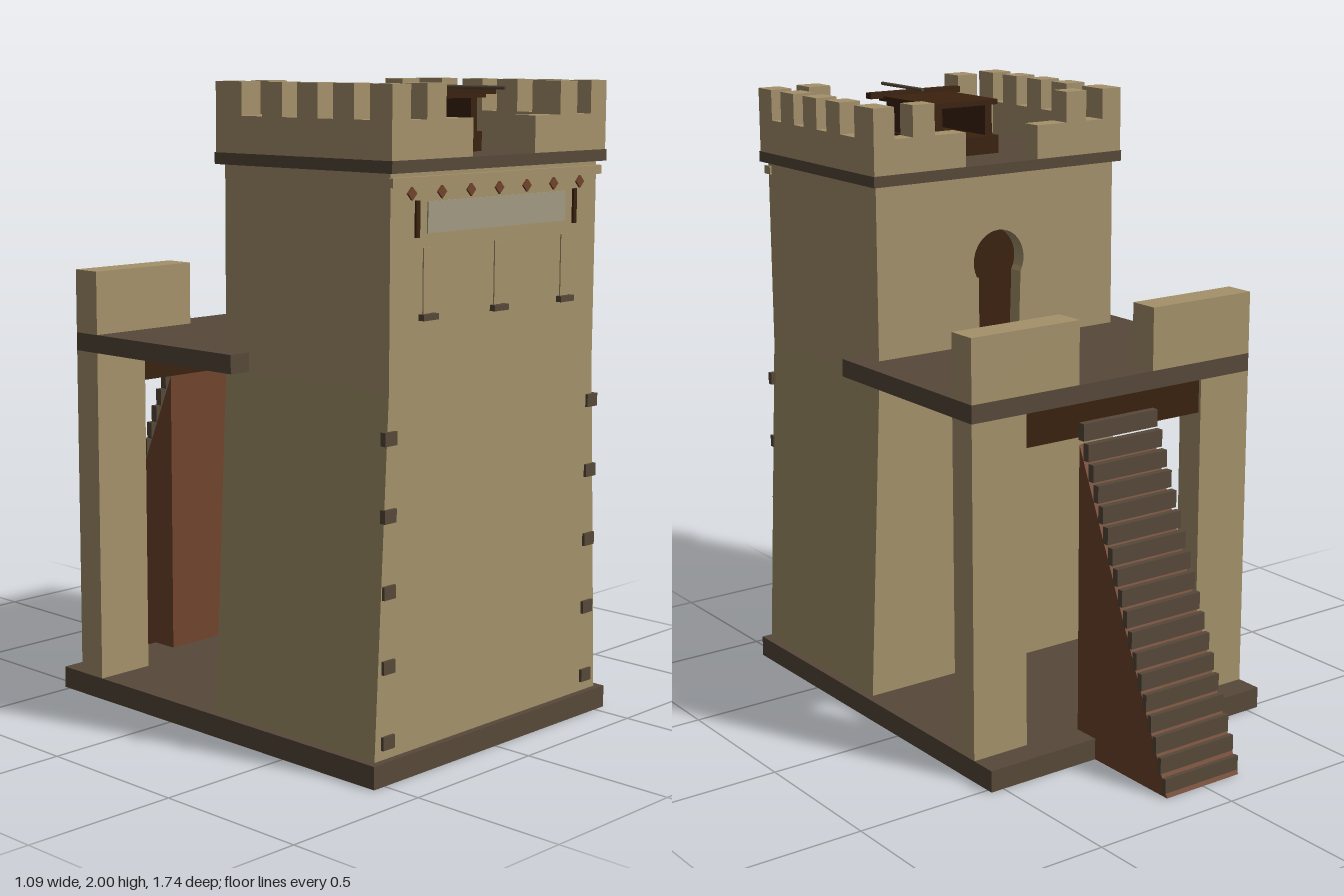
import * as THREE from 'three';

const mat = (name, color) => {
  const m = new THREE.MeshStandardMaterial({ color });
  m.name = name;
  return m;
};

export function createModel() {
  const model = new THREE.Group();
  model.name = 'castleTower';
  const sandstone = mat('sandstone', 0xa5926c);
  const darkStone = mat('darkStone', 0x574939);
  const darkWood = mat('darkWood', 0x3b220e);
  const redWood = mat('redWood', 0x71442c);
  const cloth = mat('cloth', 0xa39b84);

  const add = (name, geometry, material) => {
    const mesh = new THREE.Mesh(geometry, material);
    mesh.name = name;
    model.add(mesh);
    return mesh;
  };
  // Box given by its limits on each axis
  const box = (name, material, x0, x1, y0, y1, z0, z1) => {
    const g = new THREE.BoxGeometry(x1 - x0, y1 - y0, z1 - z0);
    g.translate((x0 + x1) / 2, (y0 + y1) / 2, (z0 + z1) / 2);
    return add(name, g, material);
  };
  // Same box on both sides of x = 0
  const pair = (name, material, x0, x1, ...rest) => {
    box(name + 'Left', material, x0, x1, ...rest);
    box(name + 'Right', material, -x1, -x0, ...rest);
  };
  const extrude = (shape, depth, z) => {
    const g = new THREE.ExtrudeGeometry(shape, { depth, bevelEnabled: false, curveSegments: 12 });
    return g.translate(0, 0, z);
  };

  // Base slab
  box('base', darkStone, -0.545, 0.545, 0, 0.07, -0.52, 0.872);

  // Tower: tapered below, straight above, with an arched doorway in the back
  const outline = () => new THREE.Shape([
    [-0.52, 0.07], [0.52, 0.07], [0.47, 1.14], [0.47, 1.755], [-0.47, 1.755], [-0.47, 1.14],
  ].map(([x, y]) => new THREE.Vector2(x, y)));
  const doorway = new THREE.Path();
  doorway.moveTo(-0.08, 1.2);
  doorway.lineTo(0.08, 1.2);
  doorway.lineTo(0.08, 1.42);
  doorway.absarc(0, 1.47, 0.1, -0.5, Math.PI + 0.5, false);
  doorway.lineTo(-0.08, 1.2);
  const backWall = outline();
  backWall.holes.push(doorway);
  add('towerBody', extrude(outline(), 0.604, 0.246), sandstone);
  add('towerBackWall', extrude(backWall, 0.06, 0.186), sandstone);
  box('door', darkWood, -0.11, 0.11, 1.2, 1.58, 0.238, 0.247);

  // Front trim, banner and its posts
  box('frontTrim', sandstone, -0.477, 0.477, 1.715, 1.742, 0.83, 0.866);
  box('banner', cloth, -0.315, 0.315, 1.58, 1.67, 0.848, 0.854);
  pair('bannerPost', darkWood, 0.352, 0.368, 1.57, 1.675, 0.845, 0.857);
  for (let i = -3; i <= 3; i++) {
    const d = add('diamond', new THREE.BoxGeometry(0.027, 0.027, 0.009), redWood);
    d.position.set(i * 0.128, 1.695, 0.852);
    d.rotation.z = Math.PI / 4;
  }

  // Slits with sills
  for (const x of [-0.315, 0, 0.315]) {
    box('slit', sandstone, x - 0.017, x + 0.017, 1.35, 1.54, 0.845, 0.854);
    box('slitSill', darkStone, x - 0.032, x + 0.032, 1.334, 1.352, 0.845, 0.87);
  }

  // Corner stones
  for (const y of [0.12, 0.345, 0.565, 0.787, 1.01]) {
    pair('cornerStone', darkStone, 0.443, 0.492, y - 0.02, y + 0.02, 0.84, 0.859);
  }

  // Roof slab and battlements
  box('roofSlab', darkStone, -0.49, 0.49, 1.755, 1.79, 0.162, 0.874);
  pair('sideParapet', sandstone, 0.41, 0.487, 1.79, 1.9, 0.235, 0.787);
  for (const [z0, z1] of [[0.787, 0.87], [0.165, 0.237]]) {
    pair('endParapet', sandstone, 0.142, 0.487, 1.79, 1.9, z0, z1);
    pair('endMerlon', sandstone, 0.26, 0.342, 1.9, 2, z0, z1);
  }
  for (const [z0, z1] of [[0.787, 0.87], [0.645, 0.727], [0.503, 0.585], [0.361, 0.443], [0.165, 0.275]]) {
    pair('sideMerlon', sandstone, 0.41, 0.487, 1.9, 2, z0, z1);
  }

  // Roof hut with a horizontal pole
  box('hutBase', darkWood, -0.125, 0.125, 1.79, 1.85, 0.36, 0.68);
  pair('hutWall', darkWood, 0.085, 0.113, 1.85, 1.95, 0.38, 0.67);
  box('hutRoof', darkWood, -0.13, 0.13, 1.95, 1.967, 0.37, 0.69);
  box('hutBeam', darkWood, -0.18, 0.18, 1.96, 1.98, 0.66, 0.69);
  const pole = add('pole', new THREE.CylinderGeometry(0.006, 0.006, 0.25, 8), darkStone);
  pole.rotation.x = Math.PI / 2;
  pole.position.set(0, 1.983, 0.745);

  // Rear platform on pillars
  box('platform', darkStone, -0.545, 0.545, 1.14, 1.198, -0.43, 0.285);
  pair('pillar', sandstone, 0.345, 0.545, 0.07, 1.14, -0.43, -0.33);
  pair('platformParapet', sandstone, 0.145, 0.545, 1.198, 1.4, -0.43, -0.33);
  box('crossBeam', darkWood, -0.345, 0.345, 1.03, 1.14, -0.42, -0.34);

  // Stairs: solid wedge with treads
  const wedge = new THREE.Shape([
    new THREE.Vector2(0.43, 0), new THREE.Vector2(0.87, 0), new THREE.Vector2(0.43, 1.01),
  ]);
  const wedgeGeometry = extrude(wedge, 0.288, -0.144);
  wedgeGeometry.rotateY(Math.PI / 2);
  add('stairWedge', wedgeGeometry, redWood);
  for (let i = 0; i < 18; i++) {
    const outer = -0.4545 - 0.0241 * i, top = 1.08 - 0.06 * i;
    box('tread', darkStone, -0.146, 0.146, top - 0.055, top, outer, outer + 0.0255 - 0.0006 * i);
  }

  return model;
}
